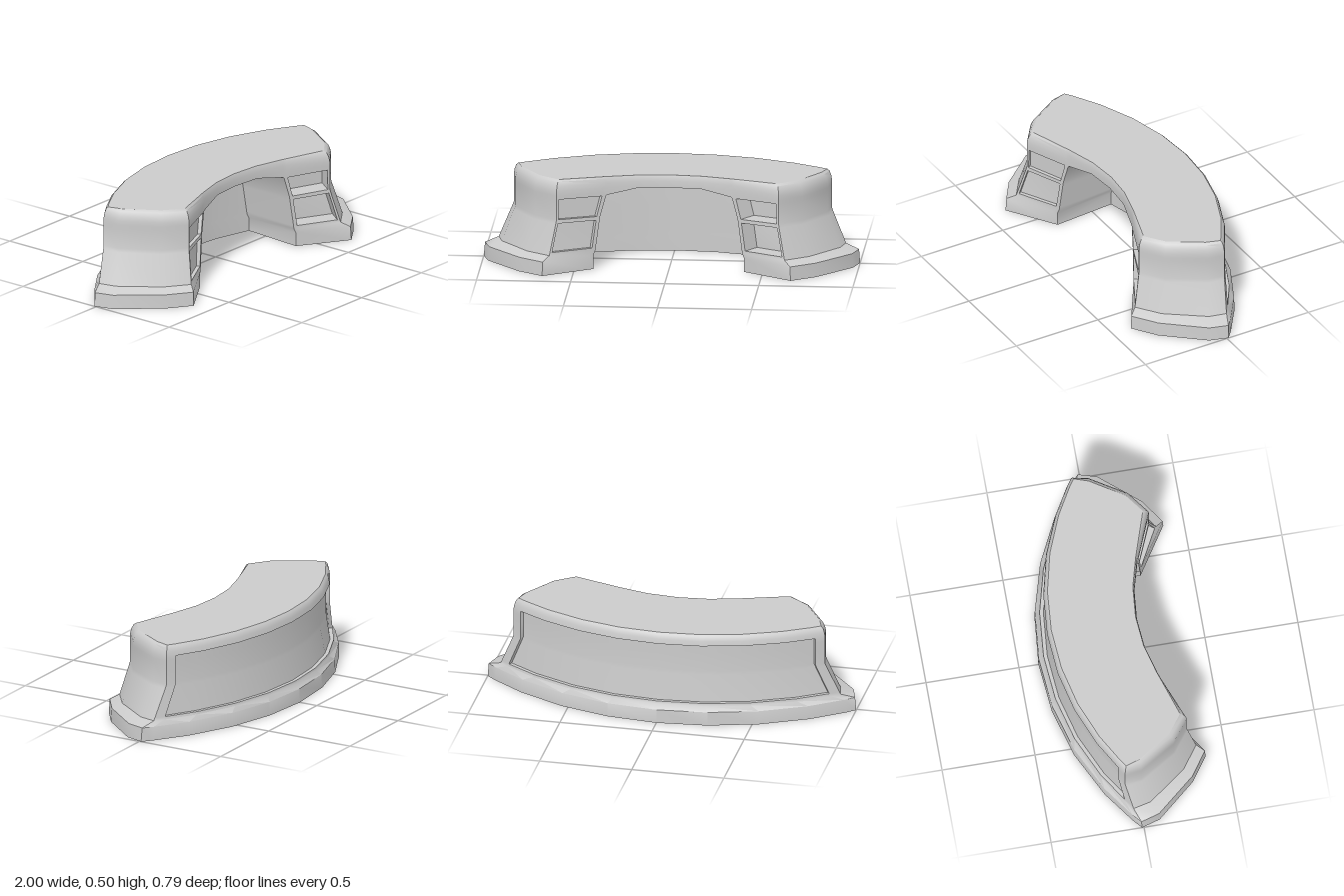
import * as THREE from 'three';
import { toCreasedNormals } from 'three/addons/utils/BufferGeometryUtils.js';

const CZ = 1.095; // z of the centre shared by all arcs

// Rows of the shell: height, foot flare (0 body, 1 foot), half-width of knee opening, top rounding
const ROWS = [
  [0, 1, 0.4, 0], [0.075, 0.96, 0.4, 0], [0.1, 0.5, 0.39, 0], [0.115, 0.46, 0.388, 0],
  [0.265, 0.05, 0.368, 0], [0.285, 0, 0.365, 0], [0.395, 0, 0.335, 0], [0.415, 0, 0.33, 0],
  [0.44, 0, 0.33, 0], [0.465, 0, 0.33, 0.006], [0.488, 0, 0.33, 0.018], [0.498, 0, 0.33, 0.034],
];
// Plan corners of one end: body x z, foot x z, direction of the top rounding
const CORNERS = {
  back: [0.845, -0.075, 1, -0.01, -0.7, 0.3],
  side: [0.83, 0.015, 0.97, 0.09, -1, -0.1],
  sideFront: [0.71, 0.21, 0.79, 0.3, -0.8, -0.6],
  front: [0.59, 0.3, 0.66, 0.39, -0.3, -1],
};
const BACK_STEPS = [-1, -0.94, -0.75, -0.5, -0.25, 0, 0.25, 0.5, 0.75, 0.94, 1];
const FRONT_STEPS = [0.05, 0.92];

const onArc = (r, a, y) => new THREE.Vector3(r * Math.sin(a), y, CZ - r * Math.cos(a));
const mirror = (p) => new THREE.Vector3(-p.x, p.y, p.z);

// One closed outline, running along the back to +x, round the end and back along the front
function ring([y, flare, knee, inset], isLintel) {
  const corner = ([bx, bz, fx, fz, dx, dz]) => new THREE.Vector3(
    bx + (fx - bx) * flare + dx * inset, y, bz + (fz - bz) * flare + dz * inset);
  const back = corner(CORNERS.back);
  const radius = Math.hypot(back.x, CZ - back.z);
  const angle = Math.asin(back.x / radius);
  const front = corner(CORNERS.front);
  const innerR = 0.96 + inset * 0.25;
  const kneeAngle = Math.asin(knee / innerR);
  const inner = [1, 0.5, 0, -0.5, -1].map((t) =>
    onArc(innerR, t * kneeAngle, isLintel ? (Math.abs(t) === 1 ? 0.4 : 0.43) : y));
  const end = [corner(CORNERS.side), corner(CORNERS.sideFront), front,
    ...FRONT_STEPS.map((t) => front.clone().lerp(inner[0].clone().setY(y), t))];
  return [
    ...BACK_STEPS.map((t) => onArc(radius, t * angle, y)),
    ...end, ...inner, ...end.slice().reverse().map(mirror),
  ];
}

const rings = ROWS.map((row, j) => ring(row, j === 7));
const COUNT = rings[0].length;
const at = (i, j) => rings[j][i % COUNT];

function quad(out, a, b, c, d) {
  for (const p of [a, b, c, a, c, d]) out.push(p.x, p.y, p.z);
}

function addMesh(group, name, positions, crease = 0.7) {
  const g = new THREE.BufferGeometry();
  g.setAttribute('position', new THREE.Float32BufferAttribute(positions, 3));
  const mesh = new THREE.Mesh(toCreasedNormals(g, crease),
    new THREE.MeshStandardMaterial({ color: 0xcccccc }));
  mesh.name = name;
  group.add(mesh);
}

// A hollow behind a block of shell cells: pushed-in back surface plus its walls
function pocketGeometry({ c0, c1, r0, r1, push }) {
  const out = [];
  const inAt = (i, j) => push(at(i, j));
  for (let i = c0; i < c1; i++) {
    for (let j = r0; j < r1; j++) {
      quad(out, inAt(i, j), inAt(i, j + 1), inAt(i + 1, j + 1), inAt(i + 1, j));
    }
  }
  const wall = (i, j, k, l) => quad(out, at(i, j), inAt(i, j), inAt(k, l), at(k, l));
  for (let i = c0; i < c1; i++) {
    if (r0 > 0) wall(i, r0, i + 1, r0);
    wall(i + 1, r1, i, r1);
  }
  for (let j = r0; j < r1; j++) {
    wall(c1, j, c1, j + 1);
    wall(c0, j + 1, c0, j);
  }
  return out;
}

// Flat cap over an outline, facing up or down
function cap(points, up) {
  const flat = points.map((p) => new THREE.Vector2(p.x, p.z));
  const out = [];
  for (const [a, b, c] of THREE.ShapeUtils.triangulateShape(flat, [])) {
    const [p, q, r] = [points[a], points[b], points[c]];
    const ny = (q.z - p.z) * (r.x - p.x) - (q.x - p.x) * (r.z - p.z);
    for (const v of (ny > 0) === up ? [p, q, r] : [p, r, q]) out.push(v.x, v.y, v.z);
  }
  return out;
}

export function createModel() {
  const group = new THREE.Group();
  group.name = 'curvedDesk';

  const inward = (depth, side) => (p) =>
    new THREE.Vector3(p.x + side * 0.57 * depth, p.y, p.z - 0.82 * depth);
  const kneeBack = (p) => {
    const x = p.x * 1.07;
    return new THREE.Vector3(x, p.y * 0.965, CZ - Math.sqrt(1.29 ** 2 - x * x));
  };
  const backIn = (p) => {
    const r = Math.hypot(p.x, CZ - p.z);
    return onArc(r - 0.02, Math.asin(p.x / r), p.y);
  };

  const pockets = [
    { name: 'backPanel', c0: 1, c1: 9, r0: 3, r1: 8, push: backIn },
    { name: 'kneeWell', c0: 16, c1: 20, r0: 0, r1: 7, push: kneeBack },
    { name: 'leftLowerShelf', c0: 14, c1: 15, r0: 3, r1: 4, push: inward(0.1, 1) },
    { name: 'leftUpperShelf', c0: 14, c1: 15, r0: 5, r1: 6, push: inward(0.11, 1) },
    { name: 'rightLowerDrawer', c0: 21, c1: 22, r0: 3, r1: 4, push: inward(0.02, -1) },
    { name: 'rightUpperDrawer', c0: 21, c1: 22, r0: 5, r1: 6, push: inward(0.02, -1) },
  ];

  // Outer shell, left open where a pocket begins
  const shell = [];
  for (let j = 0; j < ROWS.length - 1; j++) {
    for (let i = 0; i < COUNT; i++) {
      if (pockets.some((p) => i >= p.c0 && i < p.c1 && j >= p.r0 && j < p.r1)) continue;
      quad(shell, at(i, j), at(i, j + 1), at(i + 1, j + 1), at(i + 1, j));
    }
  }
  addMesh(group, 'deskShell', shell);
  for (const p of pockets) addMesh(group, p.name, pocketGeometry(p));

  // Worktop and underside, the latter cut back around the knee well
  addMesh(group, 'worktop', cap(rings[ROWS.length - 1], true));
  const foot = rings[0].flatMap((p, i) => {
    if (i < 16 || i > 20) return [p];
    if (i === 16) return [p, kneeBack(p)];
    return i === 20 ? [kneeBack(p), p] : [kneeBack(p)];
  });
  addMesh(group, 'underside', cap(foot, false));
  return group;
}
